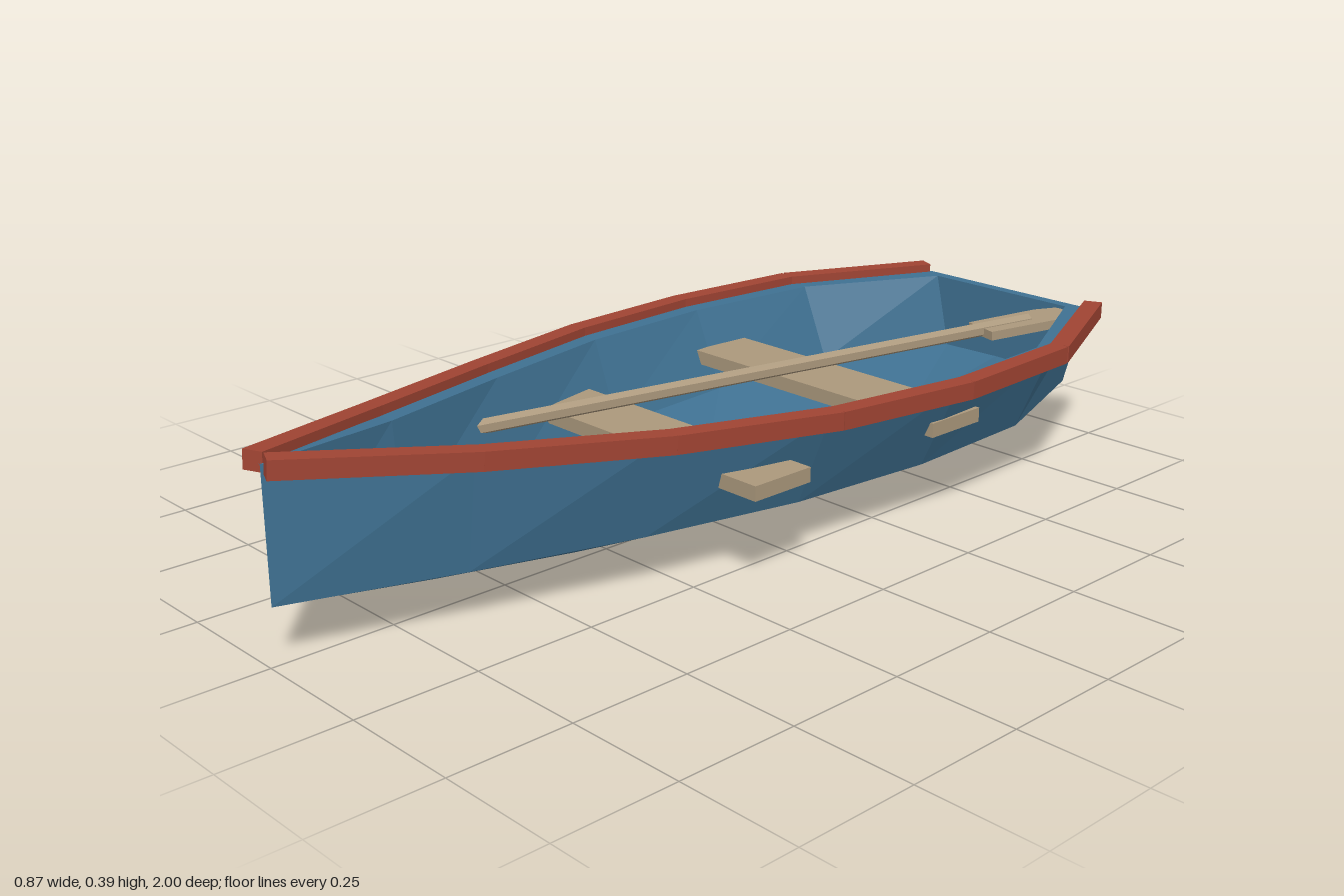
import * as THREE from 'three';

const paint = (color) => new THREE.MeshStandardMaterial({ color, flatShading: true });
const hullPaint = paint(0x3f7192);
const railPaint = paint(0xa04433);
const wood = paint(0xab987c);

// Hull stations from stern to bow: z, half width at the rim, rim height, keel height
const STATIONS = [
  [-0.99, 0.225, 0.300, 0.115],
  [-0.66, 0.375, 0.300, 0.065],
  [-0.33, 0.395, 0.303, 0.020],
  [0.00, 0.358, 0.310, 0.004],
  [0.33, 0.265, 0.321, 0.020],
  [0.66, 0.143, 0.342, 0.065],
  [0.99, 0.002, 0.373, 0.115],
];
const CHINE = 0.115;

function mesh(name, geometry, material) {
  const m = new THREE.Mesh(geometry, material);
  m.name = name;
  return m;
}

// Closed cross-section: outer skin from left rim to right rim, then the inner skin back
function section([z, w, top, keel]) {
  const iw = Math.max(0.001, w - 0.039);
  const iz = THREE.MathUtils.clamp(z, -0.965, 0.95);
  const p = (x, y, zz) => new THREE.Vector3(x, y, zz);
  const c = w * 0.78, ic = iw * 0.79, iy = CHINE + 0.022;
  return [
    p(w, top, z), p(c, CHINE, z), p(0, keel, z), p(-c, CHINE, z), p(-w, top, z),
    p(-iw, top, iz), p(-ic, iy, iz), p(0, keel + 0.025, iz), p(ic, iy, iz), p(iw, top, iz),
  ];
}

function hullGeometry() {
  const rings = STATIONS.map(section);
  const pos = [];
  const tri = (a, b, c) => {
    if (new THREE.Triangle(a, b, c).getArea() < 1e-7) return;
    for (const v of [a, b, c]) pos.push(v.x, v.y, v.z);
  };
  const fan = (pts) => {
    for (let i = 1; i < pts.length - 1; i++) tri(pts[0], pts[i], pts[i + 1]);
  };
  // Planking, inside floor and rim
  for (let k = 0; k < rings.length - 1; k++) {
    const A = rings[k], B = rings[k + 1], n = A.length;
    for (let i = 0; i < n; i++) {
      const j = (i + 1) % n;
      fan([A[i], B[i], B[j], A[j]]);
    }
  }
  // Transom: outer face, inner face and top edge
  const s = rings[0];
  const fromKeel = (r, k) => [r[k], r[k + 1], r[k + 2], r[k - 2], r[k - 1]];
  fan(fromKeel(s, 2));
  fan(fromKeel(s, 7));
  fan([s[0], s[4], s[5], s[9]]);
  const g = new THREE.BufferGeometry();
  g.setAttribute('position', new THREE.Float32BufferAttribute(pos, 3));
  g.computeVertexNormals();
  return g;
}

// Bar of box section laid between two points
function bar(name, a, b, width, height, material) {
  const m = mesh(name, new THREE.BoxGeometry(width, height, a.distanceTo(b) * 1.005), material);
  m.position.copy(a).add(b).multiplyScalar(0.5);
  m.lookAt(b);
  return m;
}

function gunwale(side) {
  const g = new THREE.Group();
  g.name = side > 0 ? 'leftGunwale' : 'rightGunwale';
  const pts = STATIONS.map(([z, w, top]) => new THREE.Vector3(side * (w + 0.018), top, z));
  for (let i = 0; i < pts.length - 1; i++) {
    g.add(bar('gunwaleSegment', pts[i], pts[i + 1], 0.04, 0.036, railPaint));
  }
  return g;
}

// Oar lying across the seats, built along local +z with the blade at the far end
function oar() {
  const g = new THREE.Group();
  g.name = 'oar';
  const handle = new THREE.Vector3(-0.205, 0.243, 0.44);
  const end = new THREE.Vector3(0.163, 0.283, -0.86);
  const length = handle.distanceTo(end);
  const shaft = mesh('oarShaft', new THREE.CylinderGeometry(0.016, 0.016, length, 6), wood);
  shaft.rotation.x = Math.PI / 2;
  shaft.position.z = length / 2;
  const outline = new THREE.Shape([
    [-0.043, 0], [0.043, 0], [0.045, 0.18], [0.03, 0.235], [-0.03, 0.235], [-0.045, 0.18],
  ].map(([x, y]) => new THREE.Vector2(x, y)));
  const bladeGeometry = new THREE.ExtrudeGeometry(outline, { depth: 0.02, bevelEnabled: false });
  bladeGeometry.translate(0, 0, -0.01).rotateX(Math.PI / 2);
  const blade = mesh('oarBlade', bladeGeometry, wood);
  blade.position.set(0, -0.004, length - 0.13);
  g.add(shaft, blade);
  g.position.copy(handle);
  g.lookAt(end);
  return g;
}

export function createModel() {
  const boat = new THREE.Group();
  boat.name = 'rowingBoat';
  boat.add(mesh('hull', hullGeometry(), hullPaint));
  boat.add(gunwale(1), gunwale(-1));

  // Seat planks run through the hull sides
  for (const [name, z] of [['frontSeat', 0.13], ['rearSeat', -0.367]]) {
    const seat = mesh(name, new THREE.BoxGeometry(0.726, 0.03, 0.145), wood);
    seat.position.set(0, 0.21, z);
    boat.add(seat);
  }
  boat.add(oar());
  return boat;
}
